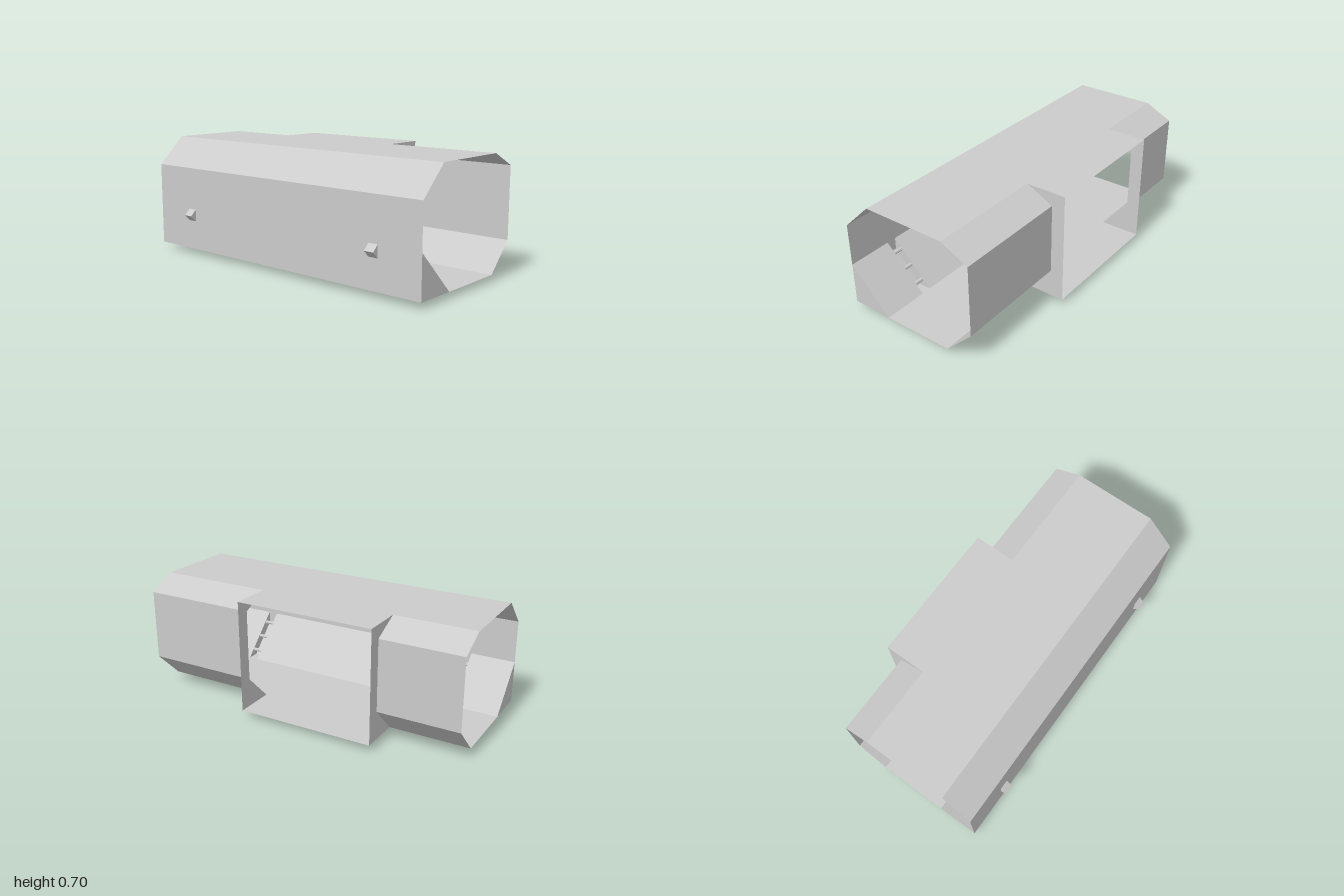
import * as THREE from 'three';

const material = new THREE.MeshStandardMaterial({
  color: 0xcccccc, flatShading: true, side: THREE.DoubleSide,
});

// Open sheet: a profile of [z, y] points swept along x
function strip(name, profile, x0, x1) {
  const positions = [];
  for (let i = 0; i < profile.length - 1; i++) {
    const [pz, py] = profile[i], [qz, qy] = profile[i + 1];
    positions.push(x0, py, pz, x1, py, pz, x1, qy, qz);
    positions.push(x0, py, pz, x1, qy, qz, x0, qy, qz);
  }
  const geometry = new THREE.BufferGeometry();
  geometry.setAttribute('position', new THREE.Float32BufferAttribute(positions, 3));
  geometry.computeVertexNormals();
  const mesh = new THREE.Mesh(geometry, material);
  mesh.name = name;
  return mesh;
}

// Flat panel facing along x, outlined by [z, y] points
function panel(name, outline, x) {
  const shape = new THREE.Shape(outline.map(([z, y]) => new THREE.Vector2(z, y)));
  const mesh = new THREE.Mesh(new THREE.ShapeGeometry(shape).rotateY(-Math.PI / 2), material);
  mesh.position.x = x;
  mesh.name = name;
  return mesh;
}

export function createModel() {
  const group = new THREE.Group();
  const floorY = 0.038, topY = 0.705, backZ = -0.395, frontZ = 0.44, bayZ = -0.475;
  const bayMin = -0.52, bayMax = 0.31;

  // Shell: front wall, front chamfer, ceiling and floor over the full length
  group.add(strip('frontWallAndCeiling',
    [[frontZ, floorY], [frontZ, 0.54], [0.27, topY], [-0.23, topY]], -1, 1));
  group.add(strip('floor', [[-0.23, floorY], [frontZ, floorY]], -1, 1));

  // Chamfered back wall on both sides of the doorway
  const back = [[-0.23, topY], [backZ, 0.625], [backZ, 0.205], [-0.23, floorY]];
  group.add(strip('backWall', back, -1, bayMin));
  group.add(strip('backWall', back, bayMax, 1));

  // Open doorway bay: roof, floor and jambs
  group.add(strip('doorwayRoof', [[-0.23, topY], [bayZ, topY]], bayMin, bayMax));
  group.add(strip('doorwayFloor', [[bayZ, floorY], [-0.23, floorY]], bayMin, bayMax));
  for (const x of [bayMin, bayMax]) {
    group.add(panel('doorwayJamb', [...back, [bayZ, floorY], [bayZ, topY]], x));
  }

  // Sloped inner bench, split by two slots, with closed ends
  const rampTop = [frontZ, 0.286], rampFoot = [0.192, floorY];
  const slotIn = 0.673, slotOut = 0.732;
  for (const [x0, x1] of [[-1, -slotOut], [-slotIn, slotIn], [slotOut, 1]]) {
    group.add(strip('slopedBench', [rampTop, rampFoot], x0, x1));
  }
  for (const x of [-1, 1]) {
    group.add(panel('benchEnd', [rampTop, [frontZ, floorY], rampFoot], x));
  }

  // Recessed channels with rungs inside the slots
  const channel = [rampFoot, [0.228, 0], [0.476, 0.25], rampTop];
  for (const side of [-1, 1]) {
    const slot = new THREE.Group();
    slot.name = 'slotChannel';
    const x0 = Math.min(side * slotIn, side * slotOut);
    const x1 = Math.max(side * slotIn, side * slotOut);
    slot.add(strip('channelTray', channel, x0, x1));
    for (const x of [x0, x1]) slot.add(panel('channelSide', channel, x));
    for (const t of [0.2, 0.5, 0.8]) {
      const rung = new THREE.Mesh(
        new THREE.CylinderGeometry(0.011, 0.011, x1 - x0, 8).rotateZ(Math.PI / 2), material);
      rung.name = 'rung';
      rung.position.set((x0 + x1) / 2,
        THREE.MathUtils.lerp(rampFoot[1], rampTop[1], t) - 0.009,
        THREE.MathUtils.lerp(rampFoot[0], rampTop[0], t) + 0.009);
      slot.add(rung);
    }
    group.add(slot);
  }
  return group;
}
